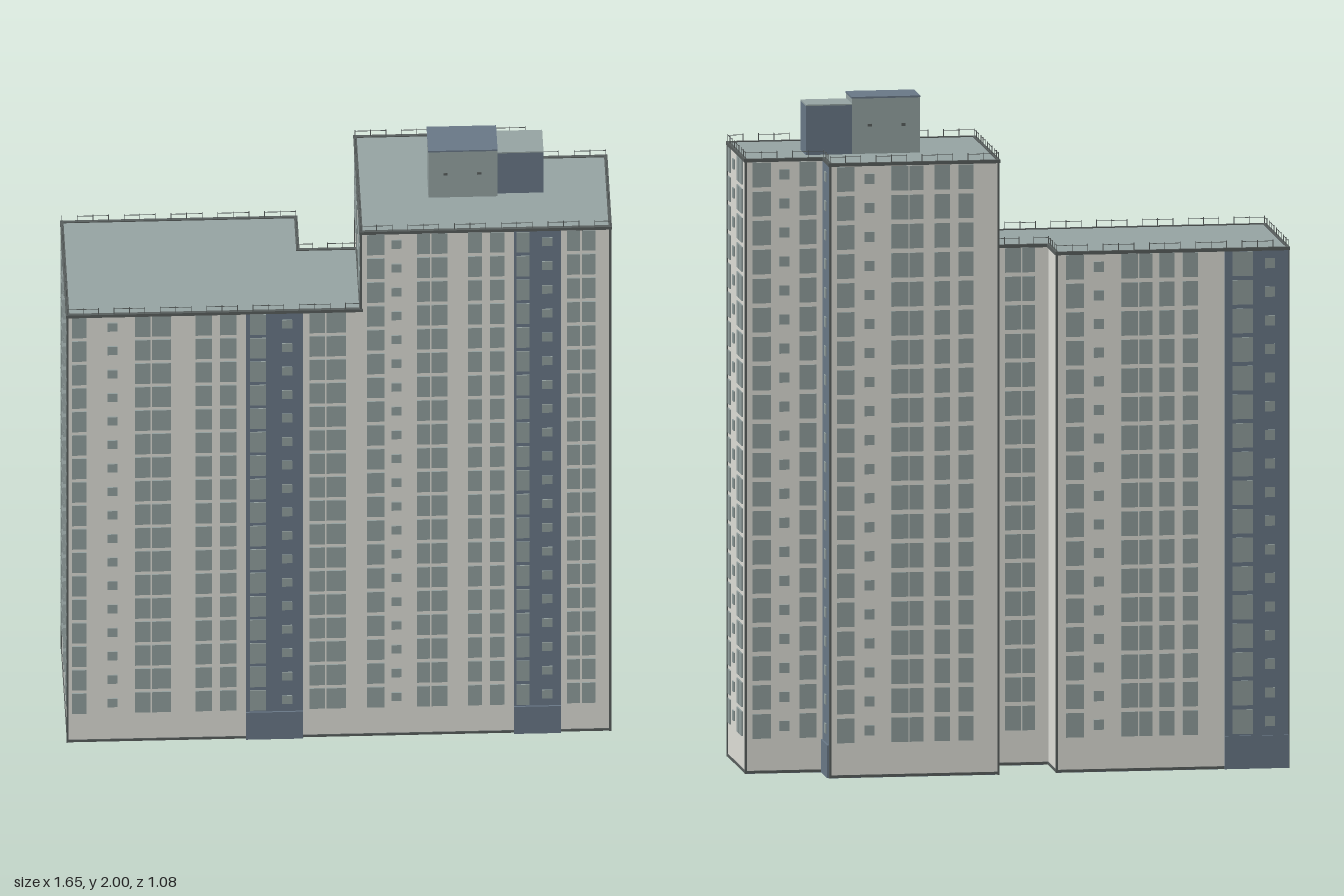
import * as THREE from 'three';
import { mergeGeometries } from 'three/addons/utils/BufferGeometryUtils.js';

const mat = (name, color) => {
  const m = new THREE.MeshStandardMaterial({ color });
  m.name = name;
  return m;
};

export function createModel() {
  const wall = mat('pale concrete', 0xdfdfd8);
  const glass = mat('grey green glass', 0x929f9e);
  const roof = mat('grey green roof', 0x96a4a3);
  const blue = mat('slate blue', 0x697887);
  const trim = mat('dark trim', 0x585e5d);

  const model = new THREE.Group();
  model.name = 'apartmentBlock';
  // Inside this group x runs along the front and -z is the depth
  const block = new THREE.Group();
  block.name = 'building';
  block.position.set(-0.597, 0, 0.533);
  block.rotation.y = 0.489;
  model.add(block);

  const add = (name, geo, m) => {
    const mesh = new THREE.Mesh(geo, m);
    mesh.name = name;
    block.add(mesh);
  };
  const addMerged = (name, list, m) => add(name, mergeGeometries(list), m);
  const shapeOf = pts => new THREE.Shape(pts.map(p => new THREE.Vector2(p[0], p[1])));
  const box = (w, h, d, x, y, z) => new THREE.BoxGeometry(w, h, d).translate(x, y, z);

  // Bar between two plan points [x, depth]
  const bar = (p, q, y, w, h) => {
    const dx = q[0] - p[0], dz = p[1] - q[1];
    return new THREE.BoxGeometry(Math.hypot(dx, dz) + w, h, w)
      .rotateY(Math.atan2(-dz, dx))
      .translate((p[0] + q[0]) / 2, y, -(p[1] + q[1]) / 2);
  };

  // Two adjoining blocks; corners lists the outer corners with a vertical strip
  const wings = [
    { name: 'lowWing', h: 1.55, open: 1, corners: [0, 4, 5],
      pts: [[0, 0], [0.865, 0], [0.865, 0.305], [0.69, 0.305], [0.69, 0.47], [0, 0.47]] },
    { name: 'tower', h: 1.83, open: -1, corners: [1, 2, 4, 5],
      pts: [[0.865, 0], [1.6, 0], [1.6, 0.355], [1.367, 0.355], [1.367, 0.48], [0.865, 0.48]] },
  ];
  for (const { name, h, open, corners, pts } of wings) {
    const shape = shapeOf(pts);
    add(name + 'Walls', new THREE.ExtrudeGeometry(shape, { depth: h - 0.009, bevelEnabled: false })
      .rotateX(-Math.PI / 2).translate(0, 0.005, 0), wall);
    add(name + 'Roof', new THREE.ShapeGeometry(shape).rotateX(-Math.PI / 2).translate(0, h, 0), roof);
    add(name + 'Foundation', new THREE.ExtrudeGeometry(shape, { depth: 0.004, bevelEnabled: false })
      .rotateX(-Math.PI / 2), blue);

    const edges = corners.map(i => box(0.006, h, 0.006, pts[i][0], h / 2, -pts[i][1]));
    // Strip where the tower rises above the low roof
    if (name === 'tower') edges.push(box(0.006, 0.28, 0.006, 0.865, 1.69, 0));
    const rails = [];
    pts.forEach((p, i) => {
      const q = pts[(i + 1) % pts.length];
      edges.push(bar(p, q, h - 0.002, 0.01, 0.01));
      if (i === open) return;
      if (i !== 5 || name === 'lowWing') edges.push(bar(p, q, 0.005, 0.005, 0.008));
      // Railing posts with short rails between them
      const len = Math.hypot(q[0] - p[0], q[1] - p[1]);
      const n = Math.max(2, Math.round(len / 0.045));
      const at = t => [p[0] + (q[0] - p[0]) * t, p[1] + (q[1] - p[1]) * t];
      for (let k = 0; k < n; k++) {
        const a = at(k / n);
        rails.push(box(0.002, 0.026, 0.002, a[0], h + 0.012, -a[1]));
        if (k % 3 !== 2) rails.push(bar(a, at((k + 1) / n), h + 0.021, 0.0015, 0.0015));
      }
    });
    addMerged(name + 'Trim', edges, trim);
    addMerged(name + 'Railing', rails, trim);
  }

  // Facades: columns are [from, to] for tall windows, [centre] for small ones
  const LOW = { n: 17, step: 0.0853, top: 1.545 };
  const HIGH = { n: 20, step: 0.0865, top: 1.824 };
  const UPPER = { n: 3, step: 0.0865, first: 17 };
  const yaw = { front: 0, back: Math.PI, left: -Math.PI / 2, right: Math.PI / 2 };
  const facades = [
    { side: 'front', at: 0, f: LOW, strip: [0.526, 0.694],
      cols: [[0.012, 0.055], [0.132], [0.198, 0.305], [0.377, 0.425], [0.449, 0.497],
        [0.537, 0.585], [0.647], [0.713, 0.82]] },
    { side: 'front', at: 0, f: HIGH, strip: [1.316, 1.454],
      cols: [[0.882, 0.934], [0.97], [1.03, 1.12], [1.18, 1.222], [1.246, 1.288],
        [1.324, 1.362], [1.414], [1.472, 1.51], [1.517, 1.557]] },
    { side: 'right', at: 1.6, f: HIGH, cols: [[0.02, 0.066], [0.126], [0.198, 0.3]] },
    { side: 'right', at: 1.367, f: HIGH, strip: [0.357, 0.48], cols: [[0.42]] },
    { side: 'left', at: 0, f: LOW,
      cols: [[0.034, 0.08], [0.092, 0.146], [0.21, 0.3], [0.37], [0.415, 0.455]] },
    { side: 'left', at: 0.865, f: UPPER,
      cols: [[0.06, 0.13], [0.21], [0.27, 0.35], [0.385], [0.415, 0.46]] },
    { side: 'back', at: 0.47, f: LOW, strip: [0, 0.19],
      cols: [[0.055], [0.107, 0.167], [0.27, 0.315], [0.34, 0.385], [0.405, 0.498], [0.565], [0.61, 0.663]] },
    { side: 'back', at: 0.305, f: LOW, cols: [[0.73, 0.82]] },
    { side: 'back', at: 0.48, f: HIGH,
      cols: [[0.94, 0.985], [1.01, 1.056], [1.09, 1.185], [1.25], [1.295, 1.347]] },
    { side: 'back', at: 0.355, f: HIGH, cols: [[1.39, 1.44], [1.485], [1.525, 1.58]] },
  ];
  const panes = [], strips = [], porches = [];
  for (const { side, at, f, strip, cols } of facades) {
    const sign = side === 'front' || side === 'right' ? 1 : -1;
    const place = new THREE.Matrix4().makeRotationY(yaw[side]);
    if (side === 'front' || side === 'back') place.setPosition(0, 0, -at);
    else place.setPosition(at, 0, 0);
    const put = (list, a, b, y, h, out) =>
      list.push(box(b - a, h, out, sign * (a + b) / 2, y, out / 2).applyMatrix4(place));

    // Blue stair strip with a slightly prouder entrance below
    if (strip) {
      put(strips, strip[0], strip[1], f.top / 2, f.top, 0.004);
      put(porches, strip[0], strip[1], 0.05, 0.098, 0.009);
    }
    for (const [a, b] of cols) {
      const out = strip && a > strip[0] && a < strip[1] ? 0.007 : 0.004;
      for (let i = 0; i < f.n; i++) {
        const y = 0.141 + ((f.first || 0) + i) * f.step;
        if (b === undefined) {
          put(panes, a - 0.015, a + 0.015, y, 0.03, out);
        } else if (b - a > 0.075) {
          // Wide balcony glazing in two parts
          const m = a + (b - a) * 0.45;
          put(panes, a, m - 0.002, y, 0.073, out);
          put(panes, m + 0.002, b, y, 0.073, out);
        } else {
          put(panes, a, b, y, 0.073, out);
        }
      }
    }
  }
  addMerged('windows', panes, glass);
  addMerged('stairStrips', strips, blue);
  addMerged('entrances', porches, blue);

  // Rooftop lift house and its lower annex, each with a contrasting cap
  add('liftHouse', box(0.203, 0.168, 0.121, 1.1715, 1.912, -0.2265), roof);
  add('liftHouseCap', box(0.205, 0.005, 0.123, 1.1715, 1.9975, -0.2265), blue);
  add('annex', box(0.137, 0.148, 0.107, 1.3415, 1.902, -0.2335), blue);
  add('annexCap', box(0.137, 0.004, 0.109, 1.3415, 1.978, -0.2335), roof);
  const vents = [1.12, 1.22].map(x => box(0.012, 0.008, 0.125, x, 1.915, -0.2265));
  addMerged('liftHouseVents', vents, trim);

  return model;
}
